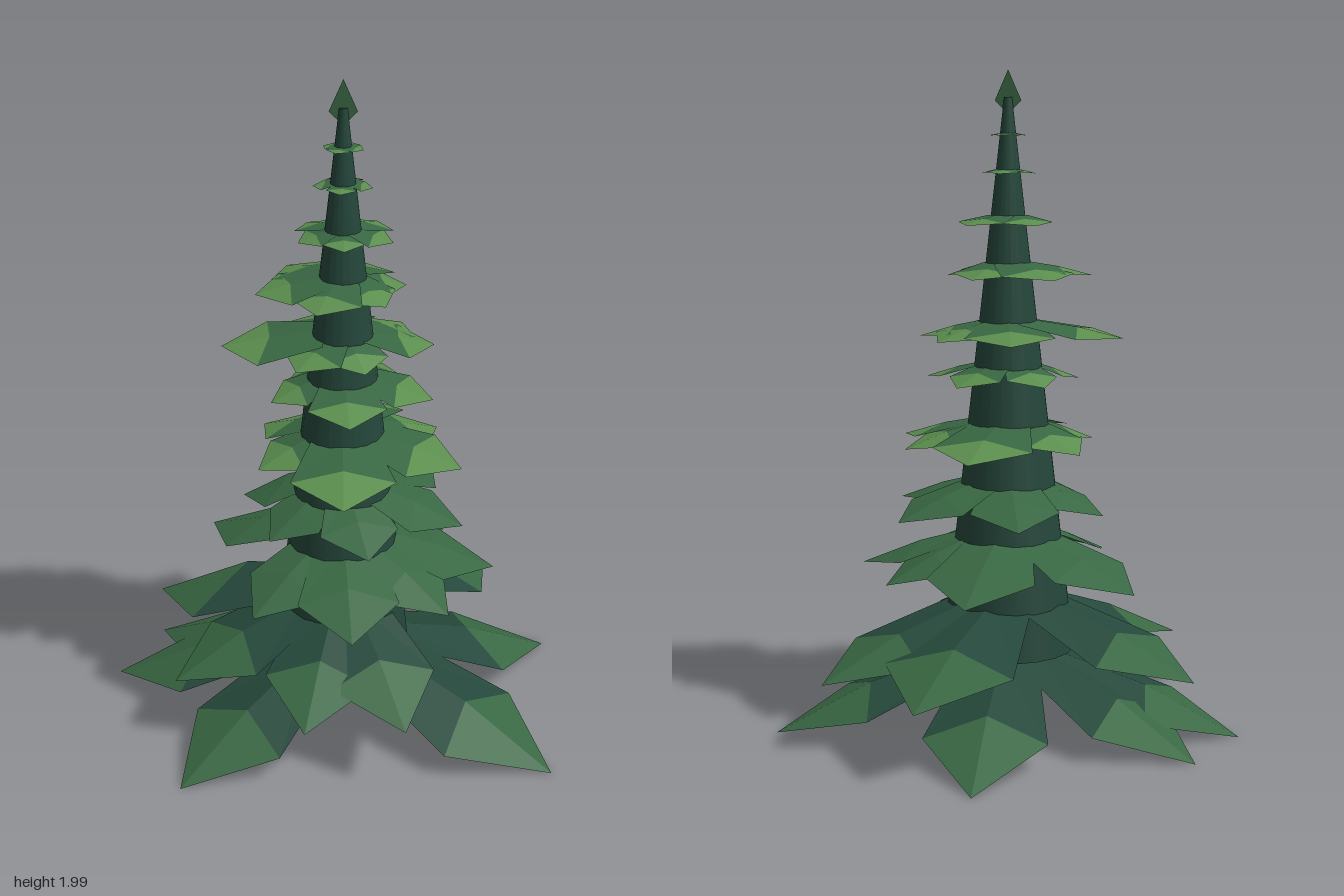
import * as THREE from 'three';

const mat = (color, flatShading = true) => new THREE.MeshStandardMaterial({ color, flatShading, side: THREE.DoubleSide });
const rad = THREE.MathUtils.degToRad;

// Evenly spaced boughs as [angle, reach], reaching further by "lean" towards one angle
const evenly = (count, start, reach, lean, toward) => Array.from({ length: count }, (_, i) => {
  const angle = start + (i * 360) / count;
  return [angle, reach + lean * Math.cos(rad(angle - toward))];
});

// Flat shape of triangles fanned around the first corner
function fan(corners, material, name) {
  const points = [];
  for (let i = 1; i < corners.length - 1; i++) points.push(...corners[0], ...corners[i], ...corners[i + 1]);
  const geometry = new THREE.BufferGeometry();
  geometry.setAttribute('position', new THREE.Float32BufferAttribute(points, 3));
  geometry.computeVertexNormals();
  const mesh = new THREE.Mesh(geometry, material);
  mesh.name = name;
  return mesh;
}

// Folded bough pointing along +x: ridge in the middle, lowered shoulders, pointed tip
function makeBough(root, reach, drop, halfWidth, innerMat, outerMat) {
  const bough = new THREE.Group();
  bough.name = 'bough';
  const sag = 0.03 * reach;
  const base = [root, 0, 0];
  const mid = [reach * 0.6, -drop * 0.4, 0];
  const tip = [reach, -drop, 0];
  const [baseL, baseR] = [1, -1].map((s) => [root, -sag, s * halfWidth * 0.6]);
  const [shoulderL, shoulderR] = [1, -1].map((s) => [reach * 0.66, -drop * 0.58 - sag, s * halfWidth]);
  bough.add(
    fan([base, baseL, shoulderL, mid, shoulderR, baseR], innerMat, 'boughInner'),
    fan([mid, shoulderL, tip, shoulderR], outerMat, 'boughTip'));
  return bough;
}

// Tiers from the bottom up, each bough as [angle in degrees, reach]
const TIERS = [
  { y: 0.24, drop: 0.23, boughs: [[32.5, 0.753], [132, 0.69], [187, 0.73], [209, 0.7], [268, 0.705], [336, 0.725]] },
  { y: 0.41, drop: 0.185, boughs: [[69, 0.55], [100, 0.54], [151, 0.566], [203, 0.65], [282, 0.69], [315, 0.66]] },
  { y: 0.61, drop: 0.13, boughs: [[0, 0.465], [42, 0.43], [85, 0.455], [128, 0.41], [211, 0.49], [274, 0.5], [320, 0.42]] },
  { y: 0.775, drop: 0.1, boughs: evenly(6, 15, 0.345, 0.05, 320) },
  { y: 0.955, drop: 0.08, boughs: [[18, 0.37], [88, 0.385], [150, 0.28], [215, 0.3], [277, 0.39], [330, 0.33]] },
  { y: 1.13, drop: 0.06, boughs: evenly(5, 12, 0.24, 0.035, 40) },
  { y: 1.26, drop: 0.055, boughs: [[70, 0.2], [125, 0.22], [181, 0.355], [258, 0.29], [310, 0.27], [352, 0.27]] },
  { y: 1.435, drop: 0.045, boughs: evenly(6, -12, 0.22, 0.04, 200) },
  { y: 1.575, drop: 0.03, boughs: evenly(5, 15, 0.15, 0.03, 280) },
  { y: 1.71, drop: 0.015, boughs: evenly(4, 5, 0.085, 0.01, 270) },
  { y: 1.815, drop: 0.008, boughs: evenly(4, 20, 0.06, 0, 0) },
];

export function createModel() {
  const tree = new THREE.Group();
  tree.name = 'coniferTree';
  const bark = mat(0x664a3c, false), coreMat = mat(0x24463a, false);
  const deep = mat(0x26493c), green = mat(0x396843), light = mat(0x5c8f4f);

  // Everything hangs on an axis set slightly off centre
  const axis = new THREE.Group();
  axis.name = 'treeAxis';
  axis.position.set(0.026, 0, 0.085);
  tree.add(axis);

  const trunk = new THREE.Mesh(new THREE.CylinderGeometry(0.05, 0.05, 0.21, 12), bark);
  trunk.name = 'trunk';
  trunk.position.y = 0.14;
  axis.add(trunk);

  // Smooth tapering core of foliage
  const [bottom, top, rBottom, rTop] = [0.235, 1.92, 0.205, 0.012];
  const core = new THREE.Mesh(new THREE.CylinderGeometry(rTop, rBottom, top - bottom, 20), coreMat);
  core.name = 'foliageCore';
  core.position.y = (top + bottom) / 2;
  axis.add(core);

  // Rings of drooping boughs: relatively wider and lighter towards the top
  TIERS.forEach(({ y, drop, boughs }, i) => {
    const tier = new THREE.Group();
    tier.name = `boughTier${i + 1}`;
    tier.position.y = y;
    const root = 0.6 * THREE.MathUtils.mapLinear(y, bottom, top, rBottom, rTop);
    const width = 0.26 + 0.034 * i;
    const innerMat = i < 2 ? deep : green;
    const outerMat = i < 4 ? green : light;
    for (const [angle, reach] of boughs) {
      const bough = makeBough(root, reach, drop, reach * width, innerMat, outerMat);
      bough.rotation.y = -rad(angle);
      tier.add(bough);
    }
    axis.add(tier);
  });

  // Flat upright leaf at the very top
  axis.add(fan([[0, 1.87, 0], [0.04, 1.91, 0], [0, 2, 0], [-0.04, 1.91, 0]], green, 'topLeaf'));
  return tree;
}
